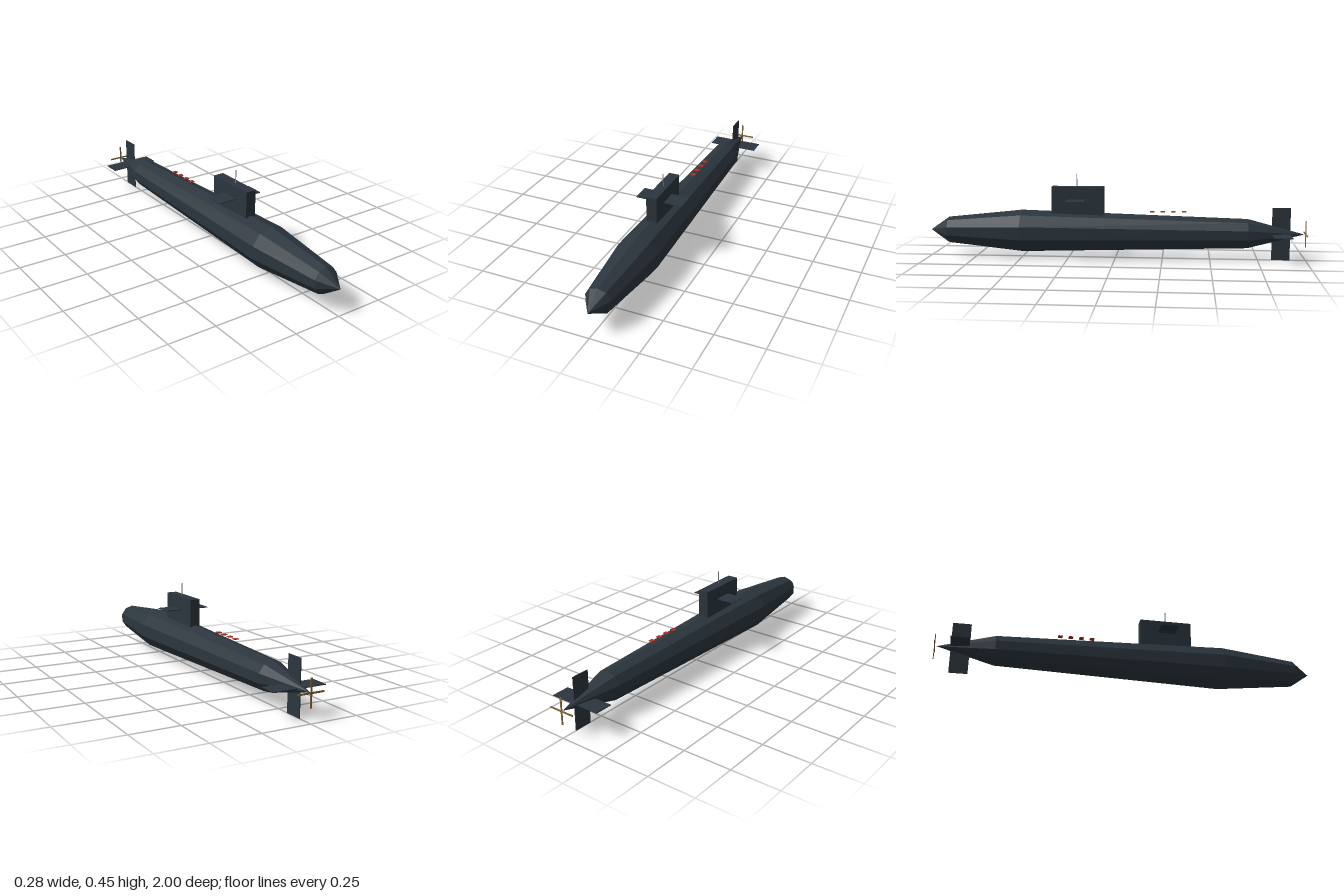
import * as THREE from 'three';

const AXIS_Y = 0.139;

export function createModel() {
  const model = new THREE.Group();
  model.name = 'submarine';

  const material = (name, color) => {
    const m = new THREE.MeshStandardMaterial({ color, flatShading: true });
    m.name = name;
    return m;
  };
  const hullPaint = material('dark slate', 0x2c363e);
  const bronze = material('bronze', 0x8a6a3a);
  const red = material('hatch red', 0xb03022);
  const steel = material('steel grey', 0x8a9298);

  const add = (name, geometry, mat, x, y, z) => {
    const mesh = new THREE.Mesh(geometry, mat);
    mesh.name = name;
    mesh.position.set(x, y, z);
    model.add(mesh);
    return mesh;
  };
  const box = (name, mat, w, h, d, x, y, z) =>
    add(name, new THREE.BoxGeometry(w, h, d), mat, x, y, z);

  // Ten-sided hull, stern to bow (radius, z)
  const profile = [[0, -0.99], [0.078, -0.695], [0.113, 0.5], [0.07, 0.9], [0, 1]]
    .map(([r, z]) => new THREE.Vector2(r, z));
  const hull = new THREE.LatheGeometry(profile, 10).rotateX(Math.PI / 2).toNonIndexed();
  hull.computeVertexNormals();
  add('hull', hull, hullPaint, 0, AXIS_Y, 0);

  // Conning tower with its diving planes and periscope
  box('sail', hullPaint, 0.056, 0.18, 0.276, 0, 0.289, 0.2);
  box('sailPlanes', hullPaint, 0.252, 0.004, 0.098, 0, 0.312, 0.202);
  add('periscope', new THREE.CylinderGeometry(0.0025, 0.0025, 0.09, 6), steel, 0.004, 0.403, 0.205);

  // Stern planes and rudder
  box('sternPlanes', hullPaint, 0.275, 0.004, 0.095, 0, AXIS_Y, -0.87);
  box('rudder', hullPaint, 0.004, 0.277, 0.095, 0, 0.1385, -0.87);

  // Four-bladed propeller made of two crossed bars
  box('propellerBladesVertical', bronze, 0.008, 0.139, 0.004, 0, AXIS_Y, -0.998);
  box('propellerBladesHorizontal', bronze, 0.139, 0.008, 0.004, 0, AXIS_Y, -0.998);

  // Row of hatches raised above the aft deck
  for (let i = 0; i < 4; i++) {
    box('hatch' + (i + 1), red, 0.026, 0.004, 0.023, 0, 0.25, -0.195 - i * 0.056);
  }
  return model;
}
